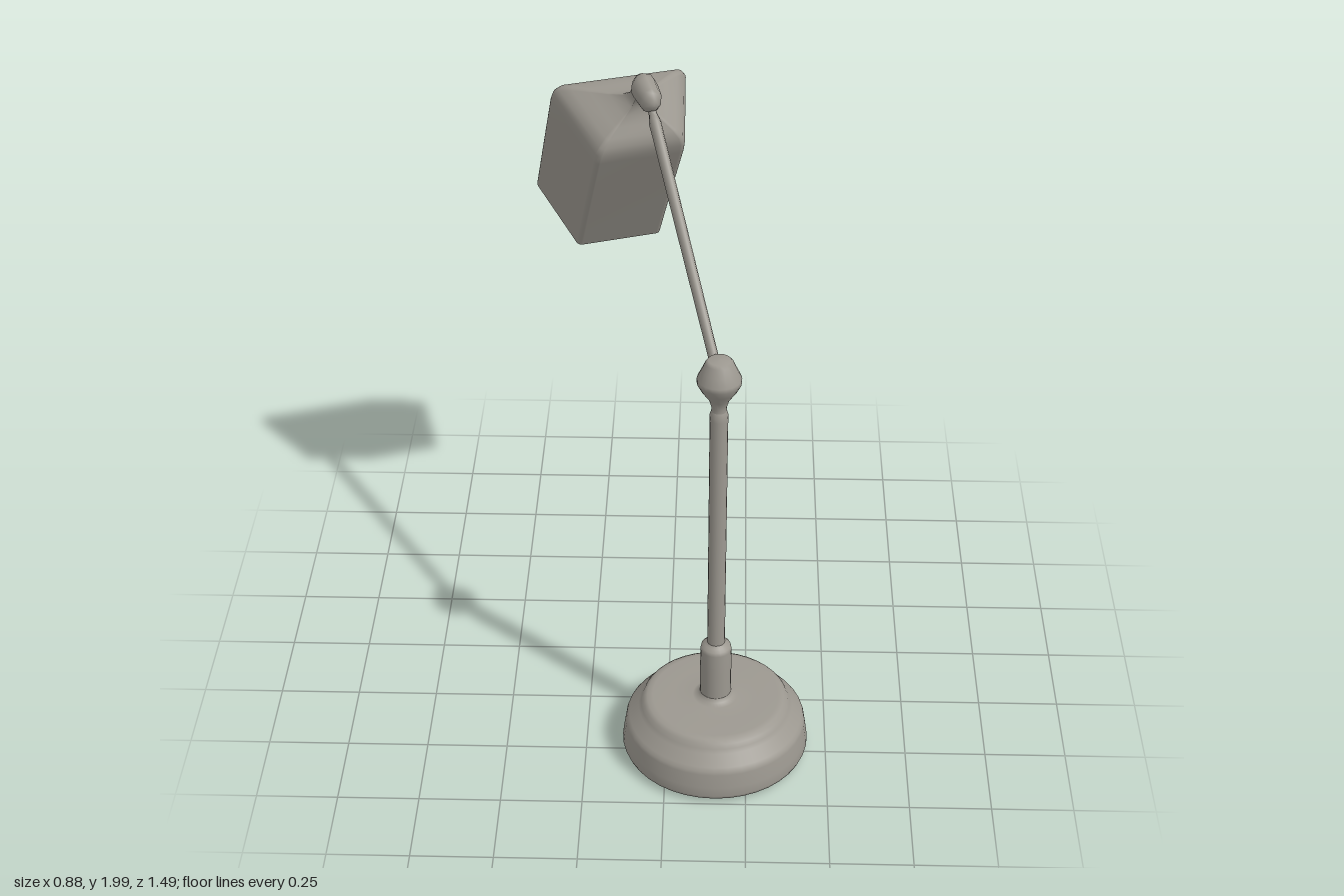
import * as THREE from 'three';

const material = new THREE.MeshStandardMaterial({ color: 0x9c9890, side: THREE.DoubleSide });

// Turned part from [radius, height] pairs
function turned(name, profile, sides) {
  const points = profile.map(([r, y]) => new THREE.Vector2(r, y));
  const mesh = new THREE.Mesh(new THREE.LatheGeometry(points, sides), material);
  mesh.name = name;
  return mesh;
}

// Places a part so that its y runs along axis and its x stays level across the lamp
function orient(part, position, axis) {
  const up = axis.clone().normalize();
  const forward = new THREE.Vector3(0.945, 0, -0.33).cross(up).normalize();
  const across = up.clone().cross(forward);
  part.quaternion.setFromRotationMatrix(new THREE.Matrix4().makeBasis(across, up, forward));
  part.position.copy(position);
}

// Rounded trapezoid section of the shade: wide at the back, narrow at the front
function shadeSection() {
  const depth = 0.133, c = 0.018, slope = Math.atan2(0.077, 0.26);
  const nx = Math.cos(slope), nz = Math.sin(slope);
  const reach = nx * 0.214 - nz * depth - c;
  const corners = [
    [1, -1, -Math.PI / 2, slope],
    [1, 1, slope, Math.PI / 2],
    [-1, 1, Math.PI / 2, Math.PI - slope],
    [-1, -1, Math.PI - slope, Math.PI * 1.5],
  ];
  const points = [];
  for (const [sx, sz, from, to] of corners) {
    const z = sz * (depth - c);
    const x = sx * (reach - nz * z) / nx;
    for (let k = 0; k <= 5; k++) {
      const a = from + (to - from) * k / 5;
      points.push(new THREE.Vector2(x + c * Math.cos(a), z + c * Math.sin(a)));
    }
  }
  return points;
}

// Open shade lofted upwards from its mouth to a small round neck
function shadeGeometry() {
  const section = shadeSection(), n = section.length;
  // height, scale, shift to the front, blend to round
  const rings = [
    [0, 1, 0, 0], [0.25, 1.015, 0.002, 0], [0.46, 1.03, 0.006, 0], [0.495, 1.015, 0.007, 0],
    [0.522, 0.95, 0.008, 0], [0.544, 0.8, 0.011, 0], [0.566, 0.6, 0.017, 0.05],
    [0.589, 0.4, 0.025, 0.15], [0.613, 0.25, 0.032, 0.4], [0.64, 0.15, 0.038, 0.8],
    [0.665, 0.1, 0.042, 1], [0.7, 0.1, 0.046, 1],
  ];
  const positions = [], index = [];
  rings.forEach(([y, s, shift, round], i) => {
    section.forEach((p, j) => {
      const q = p.clone().multiplyScalar(s).lerp(p.clone().setLength(0.027), round);
      positions.push(q.x, y, q.y + shift);
      if (i < rings.length - 1) {
        const a = i * n + j, b = i * n + (j + 1) % n;
        index.push(a, a + n, b, b, a + n, b + n);
      }
    });
  });
  const geometry = new THREE.BufferGeometry();
  geometry.setAttribute('position', new THREE.Float32BufferAttribute(positions, 3));
  geometry.setIndex(index);
  geometry.computeVertexNormals();
  return geometry;
}

export function createModel() {
  const lamp = new THREE.Group();
  lamp.name = 'deskLamp';

  // Upright stand
  const stand = new THREE.Group();
  stand.name = 'stand';
  stand.position.set(0.153, 0, 0.458);
  stand.add(
    turned('base', [
      [0, 0.003], [0.2, 0.006], [0.27, 0.012], [0.284, 0.018], [0.289, 0.03], [0.286, 0.06],
      [0.279, 0.105], [0.276, 0.116], [0.268, 0.126], [0.24, 0.157], [0.231, 0.168],
      [0.224, 0.182], [0.212, 0.19], [0.195, 0.193], [0.13, 0.194], [0.07, 0.196],
      [0.054, 0.202], [0.048, 0.215],
    ], 40),
    turned('collar', [
      [0.048, 0.2], [0.048, 0.3], [0.048, 0.378], [0.045, 0.391], [0.034, 0.397], [0.027, 0.405],
    ], 20),
    turned('stem', [
      [0.027, 0.4], [0.027, 0.8], [0.027, 1.22], [0.028, 1.235], [0.023, 1.25],
    ], 16),
    turned('elbowJoint', [
      [0.023, 1.245], [0.022, 1.262], [0.03, 1.288], [0.052, 1.32], [0.065, 1.345],
      [0.065, 1.36], [0.052, 1.387], [0.041, 1.412], [0.033, 1.421], [0, 1.423],
    ], 20),
  );
  lamp.add(stand);

  // Slanted arm, narrower across than deep
  const start = new THREE.Vector3(0.153, 1.35, 0.458);
  const arm = turned('arm', [
    [0.02, 0], [0.022, 0.4], [0.024, 0.77], [0.025, 0.805], [0.022, 0.82],
    [0.017, 0.835], [0.017, 0.9],
  ], 10);
  orient(arm, start, new THREE.Vector3(-0.075, 1.95, -0.2).sub(start));
  arm.scale.x = 0.72;
  lamp.add(arm);

  // Chunky knuckle between arm and head
  const knuckleStart = new THREE.Vector3(-0.05, 1.927, -0.127);
  const knuckle = turned('headJoint', [
    [0, 0], [0.017, 0.001], [0.036, 0.018], [0.043, 0.032], [0.049, 0.08],
    [0.048, 0.1], [0.036, 0.118], [0.018, 0.139], [0, 0.14],
  ], 10);
  orient(knuckle, knuckleStart, new THREE.Vector3(-0.1, 1.957, -0.255).sub(knuckleStart));
  knuckle.scale.x = 0.8;
  lamp.add(knuckle);

  // Tilted shade
  const shade = new THREE.Mesh(shadeGeometry(), material);
  shade.name = 'shade';
  orient(shade, new THREE.Vector3(-0.2125, 1.36, -0.57), new THREE.Vector3(0.16, 0.88, 0.45));
  lamp.add(shade);

  return lamp;
}
